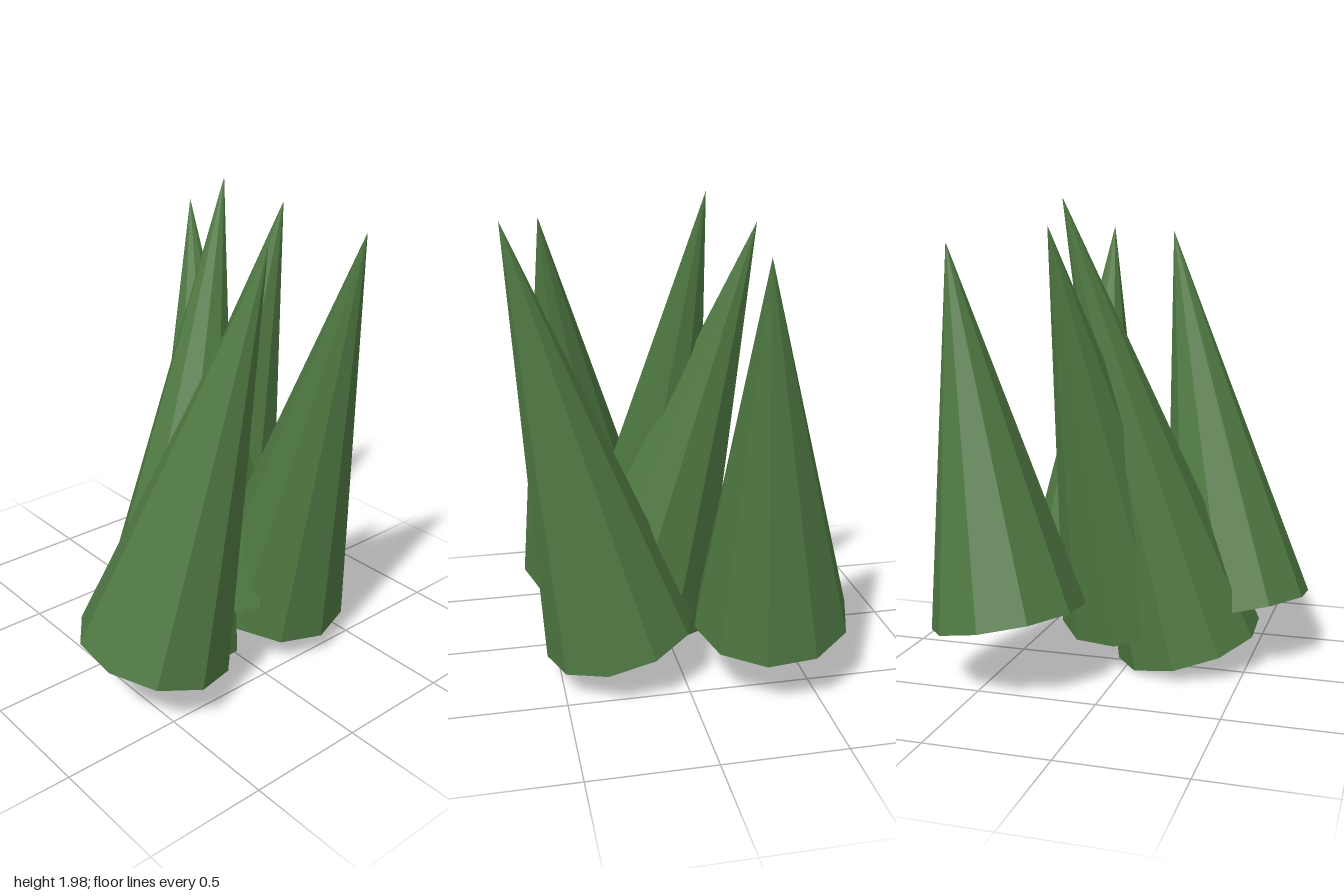
import * as THREE from 'three';

export function createModel() {
  const group = new THREE.Group();
  const green = new THREE.MeshStandardMaterial({ color: 0x4f7942, flatShading: true });
  green.name = 'foliage green';

  // Each leaning cone: centre of its base, its tip and its base radius
  const cones = [
    { name: 'leftFrontCone', base: [-0.42, 0.225, 0.275], tip: [-0.06, 1.87, 0.505], radius: 0.322 },
    { name: 'tallCentreCone', base: [-0.235, 0.095, 0.115], tip: [0.26, 1.99, -0.10], radius: 0.32 },
    { name: 'frontCone', base: [0.275, 0.185, 0.25], tip: [0.27, 1.90, 0.675], radius: 0.316 },
    { name: 'rightBackCone', base: [0.42, 0.285, -0.355], tip: [0.725, 1.81, -0.225], radius: 0.322 },
    { name: 'innerCone', base: [0.025, 0.212, 0.125], tip: [0.25, 1.87, -0.305], radius: 0.318 },
  ];

  const up = new THREE.Vector3(0, 1, 0);
  for (const { name, base, tip, radius } of cones) {
    const from = new THREE.Vector3(...base);
    const axis = new THREE.Vector3(...tip).sub(from);
    const length = axis.length();
    // Ten-sided cone with its base at the origin
    const geometry = new THREE.ConeGeometry(radius, length, 10).translate(0, length / 2, 0);
    const cone = new THREE.Mesh(geometry, green);
    cone.name = name;
    cone.position.copy(from);
    cone.quaternion.setFromUnitVectors(up, axis.normalize());
    group.add(cone);
  }
  return group;
}
